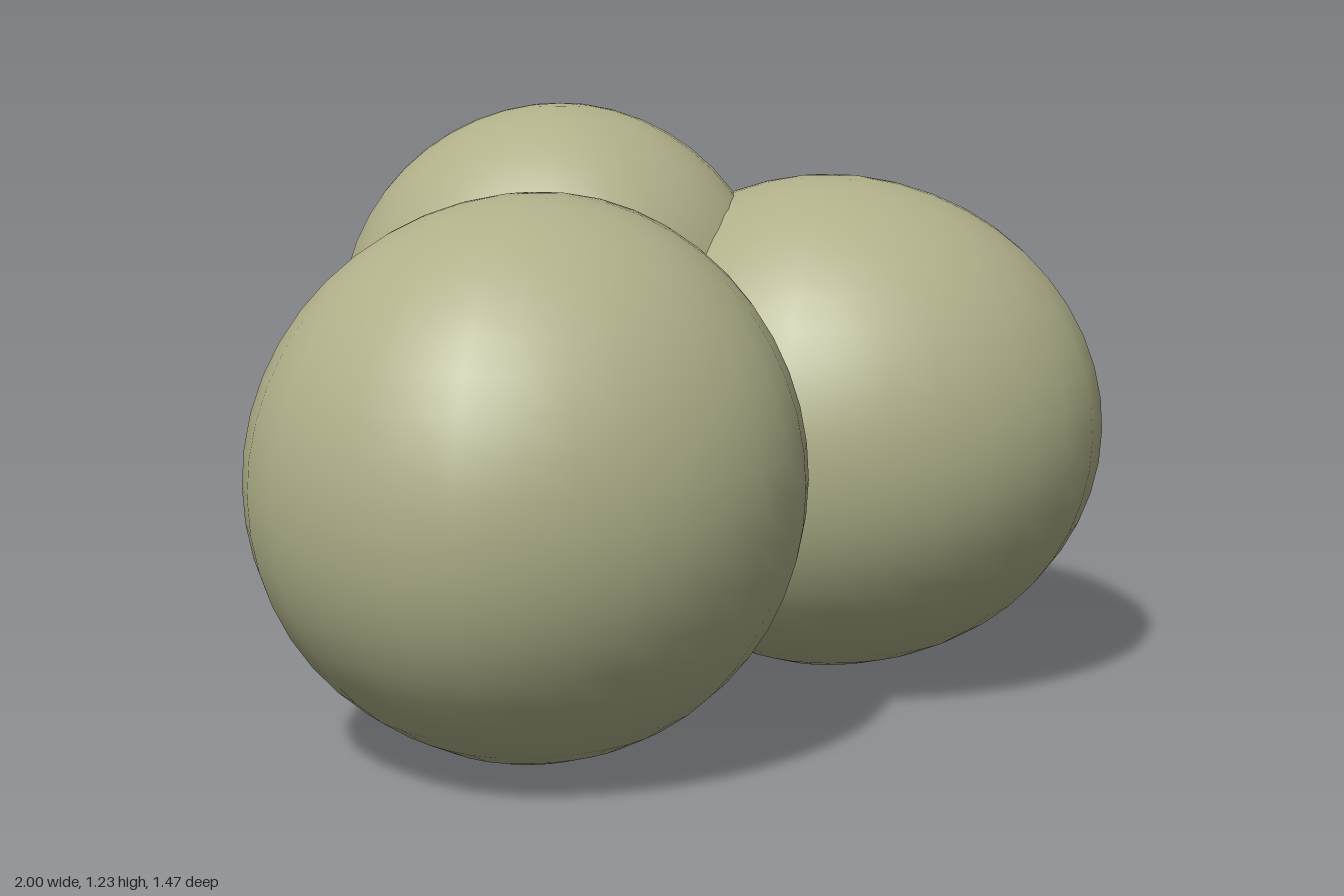
import * as THREE from 'three';
import { mergeVertices } from 'three/addons/utils/BufferGeometryUtils.js';

const material = new THREE.MeshStandardMaterial({ color: 0xb0b08a });

// Smooth periodic interpolation of radii spaced evenly around the y axis
function radiusAt(radii, angle) {
  const n = radii.length;
  const t = ((angle / (2 * Math.PI)) * n + n) % n;
  const i = Math.floor(t), f = t - i;
  const [a, b, c, d] = [-1, 0, 1, 2].map((k) => radii[(i + k + n) % n]);
  return b + 0.5 * f * (c - a + f * (2 * a - 5 * b + 4 * c - d + f * (3 * (b - c) + d - a)));
}

// A slightly lumpy ball: radii run every 30 degrees from +x towards +z
function lobe(name, center, height, radii) {
  let geometry = new THREE.SphereGeometry(1, 32, 24);
  geometry.deleteAttribute('uv');
  geometry.deleteAttribute('normal');
  geometry = mergeVertices(geometry, 1e-4);
  const p = geometry.attributes.position;
  for (let i = 0; i < p.count; i++) {
    const x = p.getX(i), z = p.getZ(i);
    const r = radiusAt(radii, Math.atan2(z, x));
    p.setXYZ(i, x * r, p.getY(i) * height, z * r);
  }
  geometry.computeVertexNormals();
  const mesh = new THREE.Mesh(geometry, material);
  mesh.name = name;
  mesh.position.set(...center);
  return mesh;
}

export function createModel() {
  const model = new THREE.Group();
  model.name = 'lobeCluster';
  model.add(
    lobe('rightLobe', [-0.44, 0.56, 0.21], 0.553,
      [0.58, 0.53, 0.528, 0.52, 0.535, 0.57, 0.56, 0.57, 0.525, 0.51, 0.52, 0.56]),
    lobe('leftLobe', [0.44, 0.56, 0.16], 0.53,
      [0.56, 0.56, 0.59, 0.565, 0.546, 0.55, 0.54, 0.55, 0.56, 0.57, 0.555, 0.535]),
    lobe('backLobe', [0.05, 0.77, -0.27], 0.47,
      [0.475, 0.455, 0.475, 0.458, 0.46, 0.445, 0.455, 0.476, 0.465, 0.47, 0.46, 0.457]),
  );
  return model;
}
